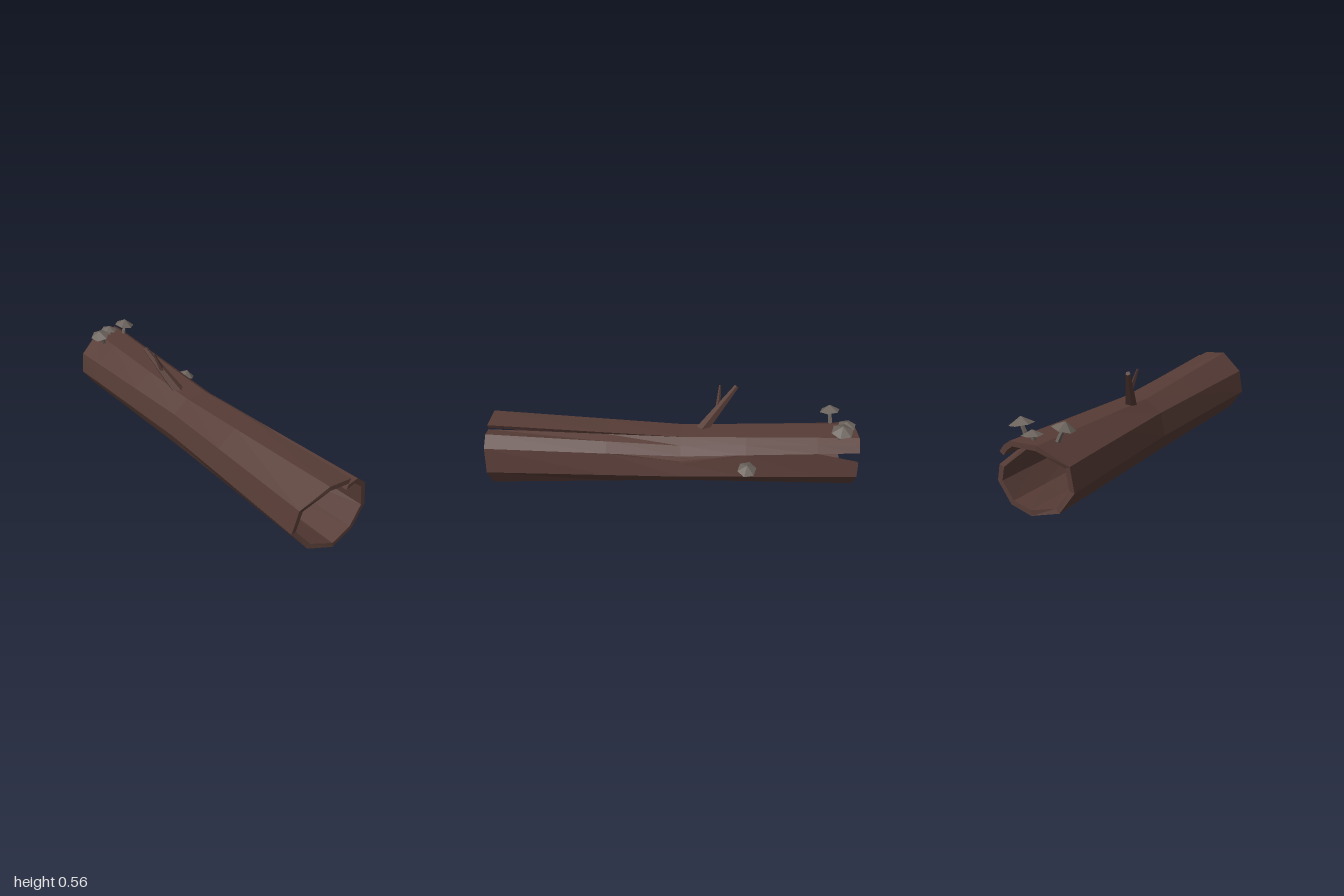
import * as THREE from 'three';

const bark = new THREE.MeshStandardMaterial({ color: 0x573c36, flatShading: true, roughness: 1 });
const fungus = new THREE.MeshStandardMaterial({ color: 0x6b625c, flatShading: true, roughness: 1 });

// Each column of the log: [x, y] at the front, waist and back
const mainColumns = [
  [[0.165, 0.31], [0.14, 0.225], [0.125, 0.25]],
  [[0.19, 0.17], [0.162, 0.155], [0.14, 0.17]],
  [[0.12, 0.05], [0.07, 0.06], [0.07, 0.07]],
  [[-0.01, 0.002], [-0.045, 0.02], [-0.04, 0.04]],
  [[-0.15, 0.05], [-0.14, 0.05], [-0.165, 0.065]],
  [[-0.237, 0.167], [-0.19, 0.15], [-0.232, 0.165]],
  [[-0.21, 0.3], [-0.165, 0.275], [-0.215, 0.285]],
  [[-0.075, 0.4], [-0.075, 0.34], [-0.08, 0.37]],
  [[0.055, 0.388], [0.05, 0.34], [0.06, 0.37]],
];
const shoulderColumns = [
  [[0.045, 0.355], [0.05, 0.34], [0.06, 0.37]],
  [[0.105, 0.363], [0.09, 0.31], [0.095, 0.345]],
  [[0.165, 0.31], [0.13, 0.268], [0.12, 0.312]],
];
const levels = [1, 0.35, -0.05, -0.4, -0.78, -1];
const waist = -0.05;

function pointOn(column, z) {
  const [front, mid, back] = column;
  const [a, b, t] = z >= waist
    ? [front, mid, (1 - z) / (1 - waist)]
    : [mid, back, (waist - z) / (waist + 1)];
  const x = a[0] + (b[0] - a[0]) * t, y = a[1] + (b[1] - a[1]) * t;
  // Ragged ends: the far left edge stops a little short
  const trim = 0.06 * Math.max(0, (-x - 0.05) / 0.18);
  return new THREE.Vector3(x, y, Math.abs(z) === 1 ? z * (1 - trim) : z);
}

// Thick curved shell between columns, with inner wall, rims and split edges
function shell(name, rows) {
  const inner = rows.map(row => row.map(p => {
    const toCentre = new THREE.Vector3(-0.03 - p.x, 0.2 - p.y, 0).setLength(0.027);
    return p.clone().add(toCentre);
  }));
  const pos = [];
  const quad = (a, b, c, d) => [a, b, c, a, c, d].forEach(p => pos.push(p.x, p.y, p.z));
  const last = rows.length - 1, end = rows[0].length - 1;
  for (let i = 0; i < last; i++) {
    for (let j = 0; j < end; j++) {
      quad(rows[i][j], rows[i][j + 1], rows[i + 1][j + 1], rows[i + 1][j]);
      quad(inner[i][j], inner[i + 1][j], inner[i + 1][j + 1], inner[i][j + 1]);
    }
    quad(rows[i][0], rows[i + 1][0], inner[i + 1][0], inner[i][0]);
    quad(rows[i][end], inner[i][end], inner[i + 1][end], rows[i + 1][end]);
  }
  for (let j = 0; j < end; j++) {
    quad(rows[0][j], inner[0][j], inner[0][j + 1], rows[0][j + 1]);
    quad(rows[last][j], rows[last][j + 1], inner[last][j + 1], inner[last][j]);
  }
  const geo = new THREE.BufferGeometry();
  geo.setAttribute('position', new THREE.Float32BufferAttribute(pos, 3));
  geo.computeVertexNormals();
  const mesh = new THREE.Mesh(geo, bark);
  mesh.name = name;
  return mesh;
}

// Tapered low-poly rod between two points
function rod(name, from, to, r0, r1, sides, material) {
  const a = new THREE.Vector3(...from), b = new THREE.Vector3(...to);
  const dir = b.clone().sub(a);
  const mesh = new THREE.Mesh(new THREE.CylinderGeometry(r1, r0, dir.length(), sides), material);
  mesh.position.copy(a).add(b).multiplyScalar(0.5);
  mesh.quaternion.setFromUnitVectors(new THREE.Vector3(0, 1, 0), dir.normalize());
  mesh.name = name;
  return mesh;
}

// Mushroom: bent stem and six-sided cap
function mushroom(root, top, radius, height, tilt) {
  const group = new THREE.Group();
  group.name = 'mushroom';
  const knee = [root[0] * 0.6 + top[0] * 0.4, root[1] * 0.5 + top[1] * 0.5, root[2] * 0.5 + top[2] * 0.5];
  group.add(rod('lowerStem', root, knee, 0.012, 0.011, 5, fungus));
  group.add(rod('upperStem', knee, top, 0.011, 0.009, 5, fungus));
  const cap = new THREE.Mesh(new THREE.ConeGeometry(radius, height, 6), fungus);
  cap.name = 'cap';
  cap.position.set(top[0], top[1] + height * 0.35, top[2]);
  cap.rotation.set(0.08, 0.2, tilt);
  group.add(cap);
  return group;
}

export function createModel() {
  const model = new THREE.Group();
  model.name = 'hollowLog';

  // The lower lip meets the shoulder except at the side crack and the rear split
  const closed = [0.35, -0.4, -0.78];
  const mainRows = levels.map(z => mainColumns.map((column, j) =>
    pointOn(j === 0 && closed.includes(z) ? shoulderColumns[2] : column, z)));
  const shoulderRows = levels.map(z => shoulderColumns.map(column => pointOn(column, z)));
  model.add(shell('trunk', mainRows), shell('shoulder', shoulderRows));

  // Broken branch with a thin twig
  model.add(rod('branch', [-0.045, 0.315, -0.155], [-0.14, 0.552, -0.345], 0.034, 0.013, 5, bark));
  model.add(rod('twig', [-0.09, 0.42, -0.245], [-0.143, 0.555, -0.255], 0.015, 0.006, 4, bark));

  // Mushrooms along the rear and on the side
  model.add(
    mushroom([-0.1, 0.355, -0.87], [-0.132, 0.422, -0.86], 0.056, 0.035, 0.22),
    mushroom([-0.02, 0.36, -0.93], [-0.018, 0.397, -0.94], 0.05, 0.025, -0.08),
    mushroom([0.055, 0.35, -0.89], [0.075, 0.422, -0.9], 0.06, 0.036, -0.18),
    mushroom([0.135, 0.2, -0.4], [0.188, 0.237, -0.405], 0.052, 0.034, -0.3),
  );
  return model;
}
